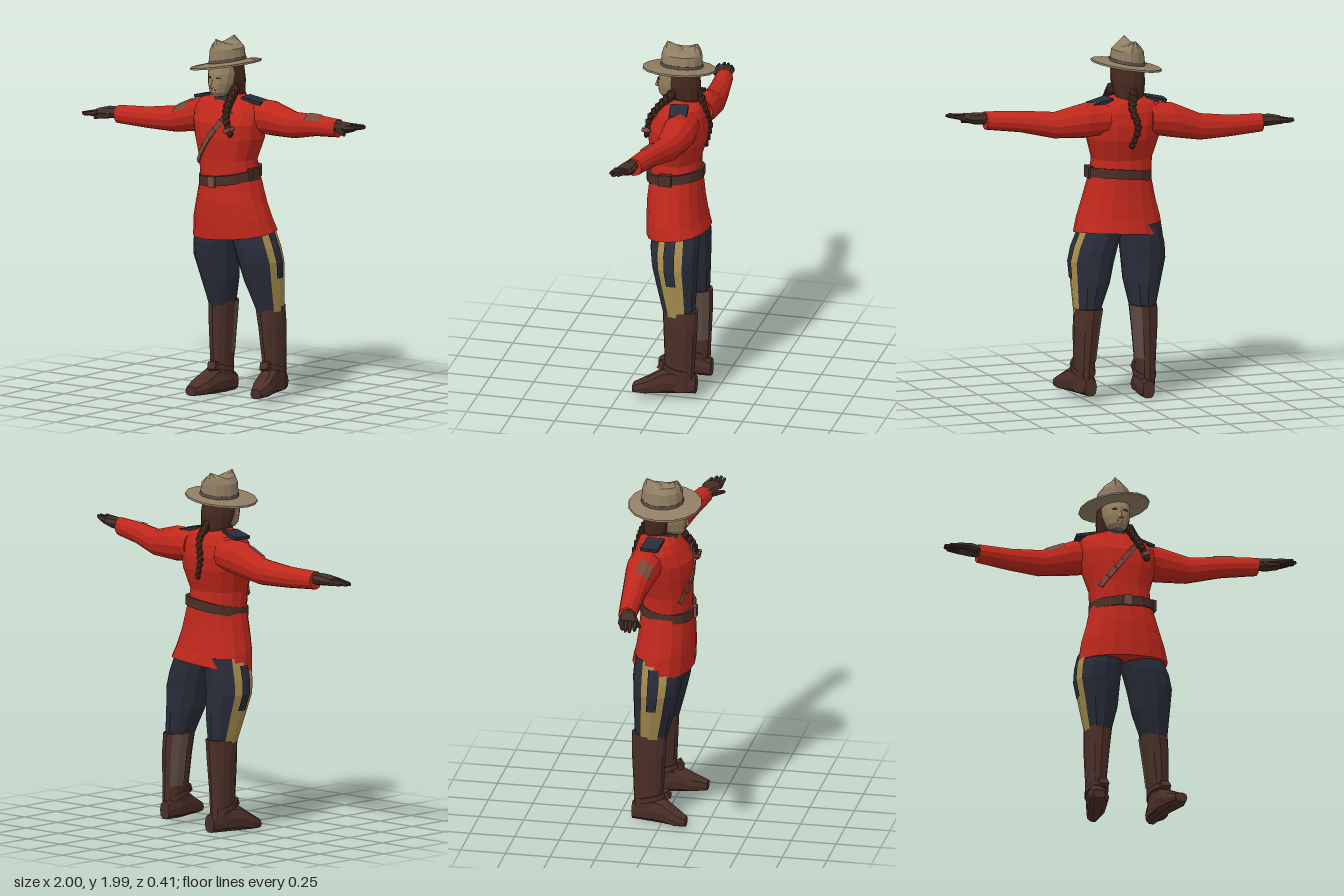
import * as THREE from 'three';

const mat = (name, color) => {
  const m = new THREE.MeshStandardMaterial({ color });
  m.name = name;
  return m;
};

// Linear sample of a ring list at position t
function at(rings, t) {
  for (let i = 0; i < rings.length - 1; i++) {
    const [a, b] = [rings[i], rings[i + 1]];
    const k = (t - a[0]) / (b[0] - a[0]);
    if (k >= 0 && k <= 1) return a.map((v, j) => v + (b[j] - v) * k);
  }
  return rings[rings.length - 1];
}

// Faceted skin over elliptical rings [t, centreA, centreB, radiusA, radiusB, slopeA, slopeB].
// A partial arc gives an open patch lying on the same surface.
function loft(rings, { axis = 'y', n = 12, p = 1, arc = null, grow = 0, floor = -9 } = {}) {
  const [a0, a1] = arc || [0, 360];
  const cols = Math.max(1, Math.round((a1 - a0) * n / 360));
  const place = (t, a, b) => {
    const v = axis === 'y' ? [a, t, b] : axis === 'x' ? [t, a, b] : [a, b, t];
    return new THREE.Vector3(v[0], Math.max(v[1], floor), v[2]);
  };
  const pw = v => Math.sign(v) * Math.abs(v) ** p;
  const grid = rings.map(([t, a, b, ra, rb, sa = 0, sb = 0]) =>
    Array.from({ length: cols + 1 }, (_, j) => {
      const q = (a0 + (a1 - a0) * j / cols) * Math.PI / 180;
      const da = pw(Math.cos(q)) * (ra + grow), db = pw(Math.sin(q)) * (rb + grow);
      return place(t + sa * da + sb * db, a + da, b + db);
    }));
  const mid = r => place(r[0], r[1], r[2]);
  const last = rings.length - 1;
  const tris = [];
  for (let j = 0; j < cols; j++) {
    for (let i = 0; i < last; i++) {
      const [a, b, c, d] = [grid[i][j], grid[i][j + 1], grid[i + 1][j + 1], grid[i + 1][j]];
      tris.push([a, b, c], [a, c, d]);
    }
    if (!arc) {
      tris.push([mid(rings[0]), grid[0][j + 1], grid[0][j]]);
      tris.push([mid(rings[last]), grid[last][j], grid[last][j + 1]]);
    }
  }
  // Turn every face outward
  const c0 = mid(rings[0]).add(mid(rings[last])).multiplyScalar(0.5);
  let vol = 0;
  for (const [a, b, c] of tris)
    vol += a.clone().sub(c0).dot(b.clone().sub(c0).cross(c.clone().sub(c0)));
  const pos = tris.flatMap(([a, b, c]) => (vol < 0 ? [a, c, b] : [a, b, c]).flatMap(v => v.toArray()));
  const g = new THREE.BufferGeometry();
  g.setAttribute('position', new THREE.Float32BufferAttribute(pos, 3));
  g.computeVertexNormals();
  return g;
}

export function createModel() {
  const root = new THREE.Group();
  root.name = 'uniformedFigure';
  const red = mat('tunicRed', 0xc0281c), navy = mat('breechesNavy', 0x292c39),
    leather = mat('brownLeather', 0x4b2f28), felt = mat('hatFelt', 0x907e64),
    skin = mat('skin', 0x94805f), hair = mat('hairBrown', 0x46291f),
    glove = mat('gloveBrown', 0x432f28), yellow = mat('stripeYellow', 0xa58c4e),
    badge = mat('badgeBrown', 0x7c4b3c), panel = mat('greyBrown', 0x5e4d44);
  const add = (name, geo, m) => {
    const mesh = new THREE.Mesh(geo, m);
    mesh.name = name;
    root.add(mesh);
    return mesh;
  };
  const box = (name, m, size, pos, rot = [0, 0, 0]) => {
    const b = add(name, new THREE.BoxGeometry(...size), m);
    b.position.set(...pos);
    b.rotation.set(...rot);
  };
  // Tapered finger between two points
  const rod = (name, m, p0, p1, r0, r1) => {
    const a = new THREE.Vector3(...p0), b = new THREE.Vector3(...p1), d = b.clone().sub(a);
    const g = new THREE.CylinderGeometry(r1, r0, d.length(), 6).toNonIndexed();
    g.computeVertexNormals();
    const r = add(name, g, m);
    r.position.copy(a).add(b).multiplyScalar(0.5);
    r.quaternion.setFromUnitVectors(new THREE.Vector3(0, 1, 0), d.normalize());
  };

  // Tunic, skirt and belt
  const round = { n: 16, p: .92 };
  const torso = [[1.22, .015, 0, .172, .142], [1.33, .005, .005, .17, .138], [1.45, .005, -.01, .205, .162],
    [1.53, 0, -.015, .215, .162], [1.6, -.005, -.03, .215, .135], [1.645, -.01, -.035, .18, .11], [1.68, -.015, -.03, .075, .07]];
  add('tunicBody', loft(torso, round), red);
  add('tunicSkirt', loft([[1.24, .018, 0, .172, .142], [1.1, .025, 0, .207, .155],
    [1, .03, -.008, .238, .162], [.91, .035, -.02, .255, .17, .08, -.12]], round), red);
  add('belt', loft([1.208, 1.262].map(y => [y, .018, .002, .178, .157, .11, -.13]), round), leather);
  box('beltBuckle', badge, [.05, .06, .015], [.005, 1.212, .162]);
  box('beltPouch', leather, [.03, .065, .07], [.19, 1.255, .02]);

  // Shoulder strap running diagonally over the chest
  const chest = k => {
    const x = .09 - .22 * k, y = 1.6 - .29 * k, [, cx, cz, rx, rz] = at(torso, y);
    return new THREE.Vector3(x, y, cz + rz * Math.sqrt(1 - ((x - cx) / rx) ** 2) + .006);
  };
  for (let i = 0; i < 6; i++) {
    const p = chest(i / 6), q = chest((i + 1) / 6), d = q.clone().sub(p);
    box('chestStrap', badge, [d.length() + .006, .028, .009], p.add(q).multiplyScalar(.5).toArray(),
      [0, Math.atan2(d.z, -d.x) * .7, Math.atan2(-d.y, -d.x)]);
  }

  // Collar and shoulder boards
  add('collar', loft([[1.64, -.015, -.02, .1, .095], [1.685, -.018, -.015, .07, .07]], { n: 10 }), navy);
  for (const s of [-1, 1])
    box('shoulderBoard', navy, [.12, .018, .1], [s * .16 - .01, 1.655, -.045], [0, s * .15, -s * .2]);

  // Sleeves with badges, gloves
  const arm = (side, s, ys, zs, patchAt) => {
    const ts = [.12, .25, .42, .6, .79], ry = [.09, .098, .074, .06, .051], rz = [.1, .092, .068, .059, .049];
    const rings = ts.map((t, i) => [s * t, ys[i], zs[i], ry[i], rz[i]]);
    add(side + 'Sleeve', loft(rings, { axis: 'x' }), red);
    add(side + 'SleeveBadge', loft(patchAt.map(t => at(rings, s * t)), { axis: 'x', arc: [0, 60], grow: .005 }), badge);
  };
  arm('right', -1, [1.55, 1.535, 1.485, 1.475, 1.476], [-.07, -.085, -.092, -.078, -.06], [.3, .4]);
  arm('left', 1, [1.565, 1.562, 1.543, 1.567, 1.577], [-.06, -.07, -.05, -.002, .045], [.545, .6, .66]);
  const hand = (side, s, y, z, rise) => {
    add(side + 'Glove', loft([[s * .77, y, z, .034, .034], [s * .84, y, z + .012, .034, .05],
      [s * .91, y + rise * .4, z + .025, .023, .055]], { axis: 'x', n: 8 }), glove);
    [.97, .995, 1, .975].forEach((len, i) => {
      const o = (i - 1.5) * .026;
      rod(side + 'Finger', glove, [s * .89, y + rise * .3, z + .022 + o], [s * (len - .003), y + rise, z + .04 + o * .9], .018, .009);
    });
    rod(side + 'Thumb', glove, [s * .82, y - .01, z + .04], [s * .895, y - .025, z + .088], .02, .01);
  };
  hand('right', -1, 1.485, -.057, -.016);
  hand('left', 1, 1.588, .05, .02);

  // Legs: the left one mirrors the right, stands wider and a little higher
  const breechesRings = [[.97, -.08, -.03, .12, .13], [.85, -.1, -.03, .126, .138], [.77, -.105, -.035, .125, .13],
    [.65, -.093, -.05, .106, .115], [.49, -.09, -.07, .068, .09]];
  const bootRings = [[.515, -.09, -.077, .076, .1], [.4, -.096, -.08, .07, .096],
    [.22, -.1, -.08, .057, .086], [.05, -.1, -.08, .05, .08]];
  const footRings = [[-.172, -.09, .05, .035, .05], [-.08, -.097, .07, .054, .075], [0, -.115, .07, .058, .075],
    [.08, -.138, .04, .062, .048], [.14, -.152, .025, .035, .028]];
  const spread = y => .05 + .2 * (.97 - Math.max(y, .5)) + .04 * Math.max(0, .5 - y);
  for (const side of ['right', 'left']) {
    const left = side === 'left', floor = left ? .035 : 0;
    const pose = rings => rings.map(([y, x, ...r]) => [y, left ? spread(y) - x : x, ...r]);
    const sector = (a, b) => left ? [a, b] : [180 - b, 180 - a];
    const breeches = pose(breechesRings), boot = pose(bootRings);
    const foot = footRings.map(([z, x, y, ...r]) =>
      left ? [z > 0 ? z * 1.2 : z, .16 - x, y + floor, ...r] : [z, x, y, ...r]);
    add(side + 'Breeches', loft(breeches), navy);
    add(side + 'Stripe', loft(breeches, { arc: sector(-30, 30), grow: .005 }), yellow);
    add(side + 'StripeSlot', loft([.93, .85, .77, .68].map(t => at(breeches, t)),
      { arc: sector(-12, 12), grow: .01, n: 30 }), navy);
    add(side + 'BootShaft', loft(boot), leather);
    add(side + 'BootPanel', loft(boot.slice(0, 3), { arc: sector(180, 240), grow: .004 }), panel);
    add(side + 'Foot', loft(foot, { axis: 'z', n: 10, p: .8, floor }), leather);
    // Spur strap around the ankle
    const y = floor + .135, x = at(boot, y)[1];
    add(side + 'AnkleStrap', loft([y - .015, y + .015].map(h => [h, x, -.07, .063, .089, 0, .25])), leather);
    box(side + 'StrapBuckle', leather, [.05, .045, .03], [x + .01, y + .02, .02], [-.5, 0, .2]);
  }

  // Head and face
  add('neck', loft([[1.62, -.015, -.01, .055, .055], [1.74, -.02, 0, .05, .055]], { n: 8 }), skin);
  add('head', loft([[1.675, -.02, .055, .03, .04], [1.7, -.02, .045, .056, .066], [1.75, -.02, .03, .075, .085],
    [1.8, -.02, .022, .08, .088], [1.86, -.02, 0, .08, .088]]), skin);
  const noseShape = new THREE.ConeGeometry(.016, .05, 4).toNonIndexed();
  noseShape.computeVertexNormals();
  add('nose', noseShape, skin).position.set(-.02, 1.752, .117);
  for (const s of [-1, 1]) box('eye', hair, [.024, .009, .008], [-.02 + s * .03, 1.782, .103], [0, s * .35, 0]);
  box('mouth', badge, [.032, .008, .008], [-.02, 1.713, .106]);

  // Hair with one braid over the left shoulder and one down the back
  add('hair', loft([[1.635, -.015, -.06, .06, .055], [1.69, -.02, -.05, .085, .075], [1.76, -.02, -.032, .095, .095],
    [1.85, -.02, -.02, .09, .095]]), hair);
  const braid = (name, pts, count, r) => {
    const curve = new THREE.CatmullRomCurve3(pts.map(p => new THREE.Vector3(...p)));
    for (let i = 0; i < count; i++) {
      const b = add(name, new THREE.IcosahedronGeometry(r * (1 - .4 * i / count), 0), hair);
      b.position.copy(curve.getPoint(i / (count - 1)));
      b.scale.set(1, 1.15, .8);
    }
  };
  braid('frontBraid', [[.06, 1.71, .02], [.065, 1.64, .085], [.085, 1.57, .135], [.12, 1.49, .145]], 9, .033);
  braid('backBraid', [[-.02, 1.7, -.12], [0, 1.62, -.155], [-.025, 1.52, -.178], [.005, 1.42, -.165]], 10, .03);
  box('braidTie', badge, [.045, .022, .045], [.112, 1.51, .146], [0, 0, .4]);

  // Hat: tilted brim, band, pinched crown
  const tilt = .16;
  add('hatBrim', loft([[1.832, -.02, -.005, .11, .12, tilt], [1.838, -.02, -.005, .195, .205, tilt],
    [1.848, -.02, -.005, .193, .203, tilt], [1.858, -.02, -.015, .1, .12, tilt]], { n: 16 }), felt);
  const crown = loft([[1.845, -.02, -.02, .098, .117, tilt], [1.93, -.022, -.02, .085, .113, .08],
    [1.96, -.028, -.02, .056, .105], [1.99, -.035, -.02, .014, .088]], { n: 14 });
  const pos = crown.attributes.position;
  for (let i = 0; i < pos.count; i++) {
    const y = pos.getY(i), dip = Math.max(0, 1 - Math.abs(pos.getZ(i) + .02) / .085);
    if (y > 1.95) pos.setY(i, y - .035 * dip * (y - 1.95) / .04);
  }
  crown.computeVertexNormals();
  add('hatCrown', crown, felt);
  add('hatBand', loft([[1.85, -.02, -.02, .1, .12, tilt], [1.875, -.02, -.02, .096, .118, tilt]], { n: 14 }), panel);

  return root;
}
